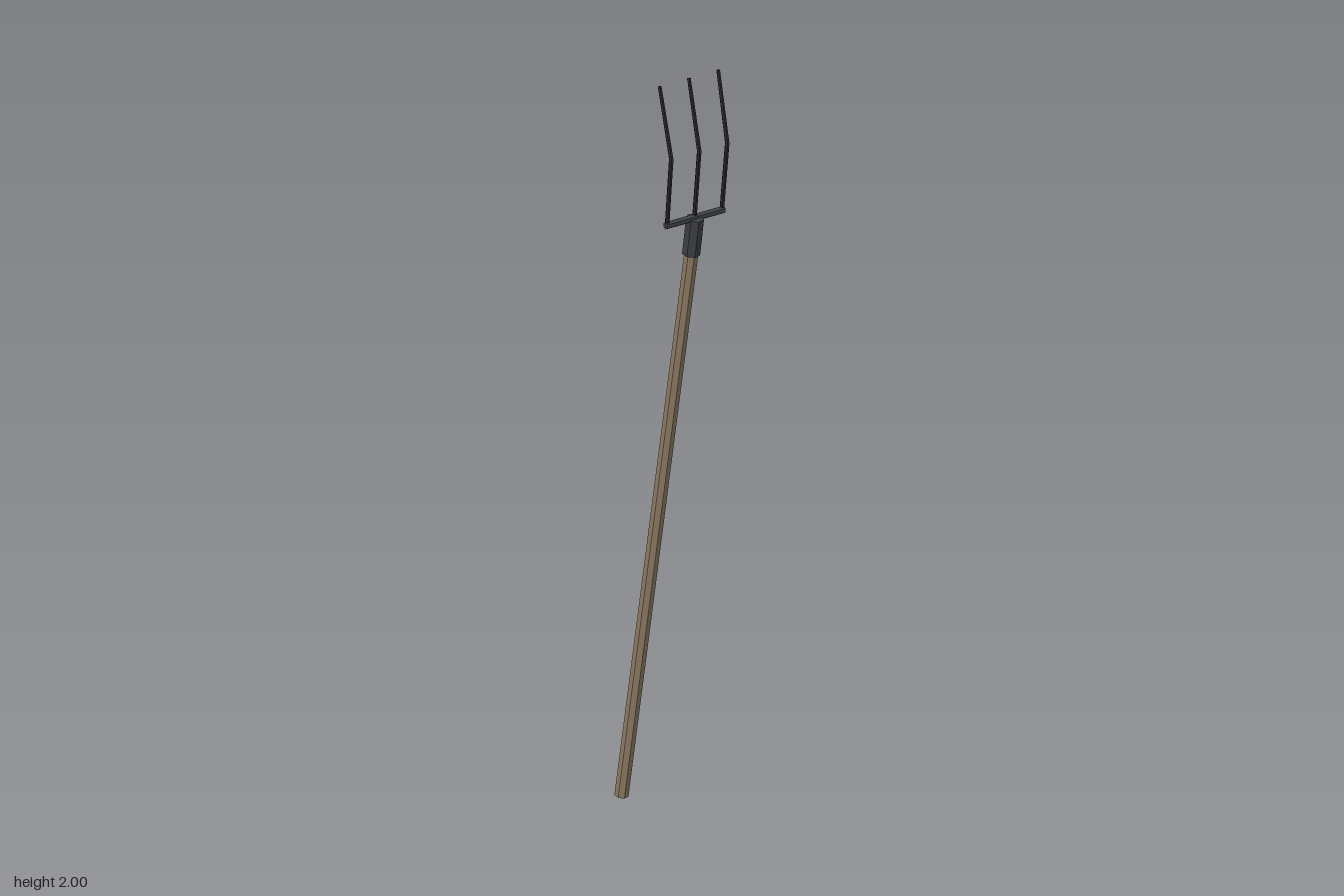
import * as THREE from 'three';

const material = (color) => new THREE.MeshStandardMaterial({ color, flatShading: true });
const UP = new THREE.Vector3(0, 1, 0);

// Faceted rod running from point a to point b
function rod(name, a, b, r0, r1, sides, mat) {
  const start = new THREE.Vector3(...a), end = new THREE.Vector3(...b);
  const dir = end.clone().sub(start);
  const geo = new THREE.CylinderGeometry(r1, r0, dir.length(), sides, 1, false, Math.PI / 2);
  const mesh = new THREE.Mesh(geo, mat);
  mesh.name = name;
  mesh.position.copy(start).add(end).multiplyScalar(0.5);
  mesh.quaternion.setFromUnitVectors(UP, dir.normalize());
  return mesh;
}

export function createModel() {
  const fork = new THREE.Group();
  fork.name = 'pitchfork';
  const wood = material(0x8f7d66);
  const iron = material(0x3e4044);
  const steel = material(0x26272a);

  // Leaning wooden shaft and the iron socket on its end
  fork.add(rod('shaft', [0, 0.003, -0.153], [0, 1.58, 0.14], 0.018, 0.018, 7, wood));
  fork.add(rod('socket', [0, 1.535, 0.131], [0, 1.635, 0.147], 0.023, 0.023, 7, iron));

  // Crossbar that carries the tines
  fork.add(rod('crossbar', [-0.09, 1.635, 0.145], [0.09, 1.635, 0.145], 0.01, 0.01, 6, iron));

  // Three bent tines, the outer two splayed slightly
  ['rightTine', 'middleTine', 'leftTine'].forEach((name, i) => {
    const s = i - 1;
    const tine = new THREE.Group();
    tine.name = name;
    const bend = [s * 0.087, 1.818, 0.164];
    tine.add(rod('lowerTine', [s * 0.085, 1.63, 0.144], bend, 0.006, 0.006, 6, steel));
    tine.add(rod('upperTine', [s * 0.087, 1.814, 0.165], [s * 0.091, 1.999, 0.122], 0.006, 0.005, 6, steel));
    fork.add(tine);
  });

  return fork;
}
